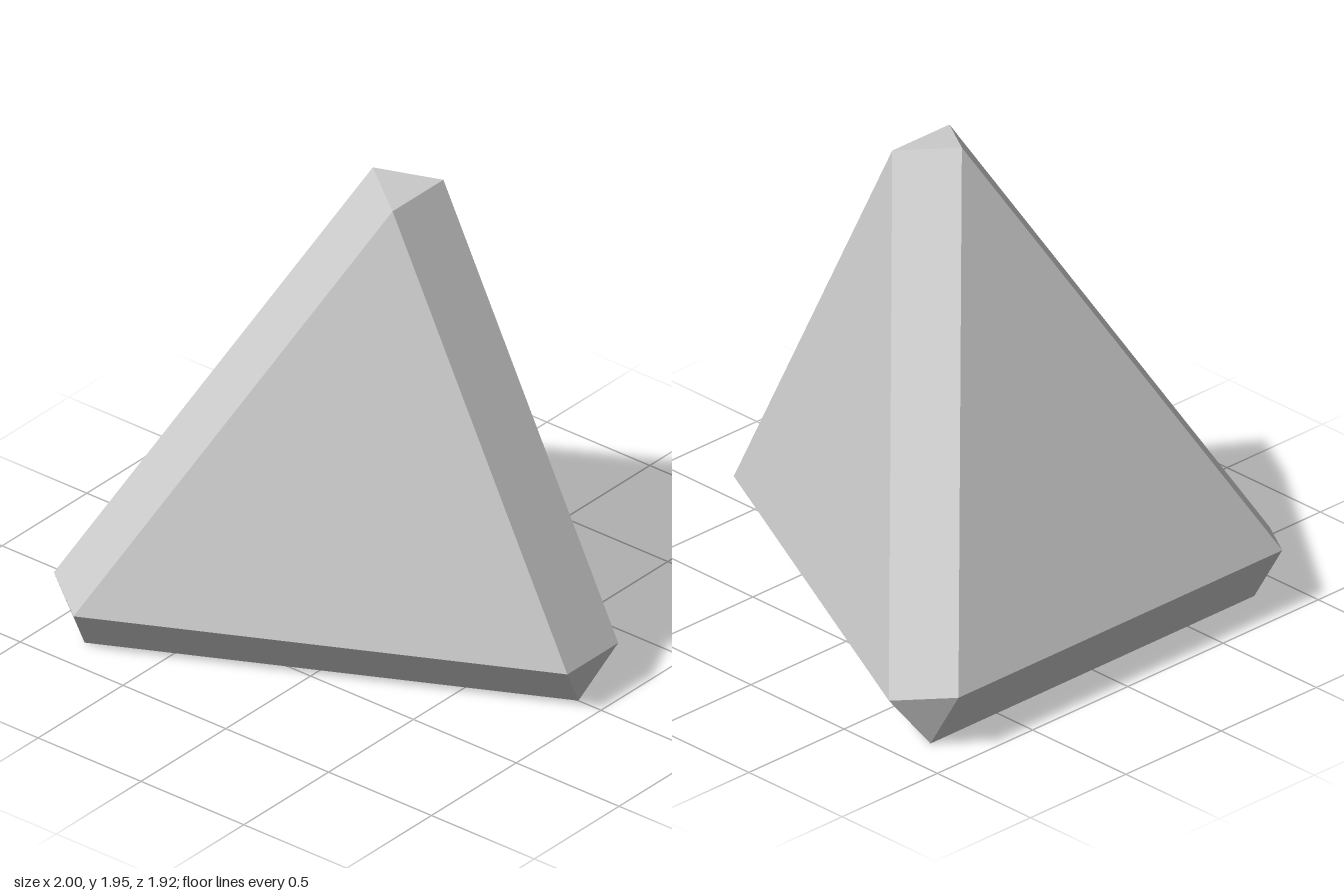
import * as THREE from 'three';
import { ConvexGeometry } from 'three/addons/geometries/ConvexGeometry.js';

// Tetrahedron with chamfered edges and corners: each corner is a small triangle
export function createModel() {
  const group = new THREE.Group();
  group.name = 'chamferedTetrahedron';
  const points = [];
  const add = (x, y, z) => points.push(new THREE.Vector3(x, y, z));
  const addPair = (x, y, z) => { add(x, y, z); add(-x, y, z); };

  // top corner
  addPair(0.15, 1.91, 0.11);
  add(0, 1.95, -0.11);

  // front corner
  addPair(0.15, 0.21, 0.96);
  add(0, 0, 0.89);

  // mirrored back corners
  addPair(1, 0.21, -0.74);
  addPair(0.85, 0.25, -0.96);
  addPair(0.85, 0, -0.81);

  const body = new THREE.Mesh(
    new ConvexGeometry(points),
    new THREE.MeshStandardMaterial({ color: 0xcccccc, flatShading: true })
  );
  body.name = 'body';
  group.add(body);
  return group;
}
